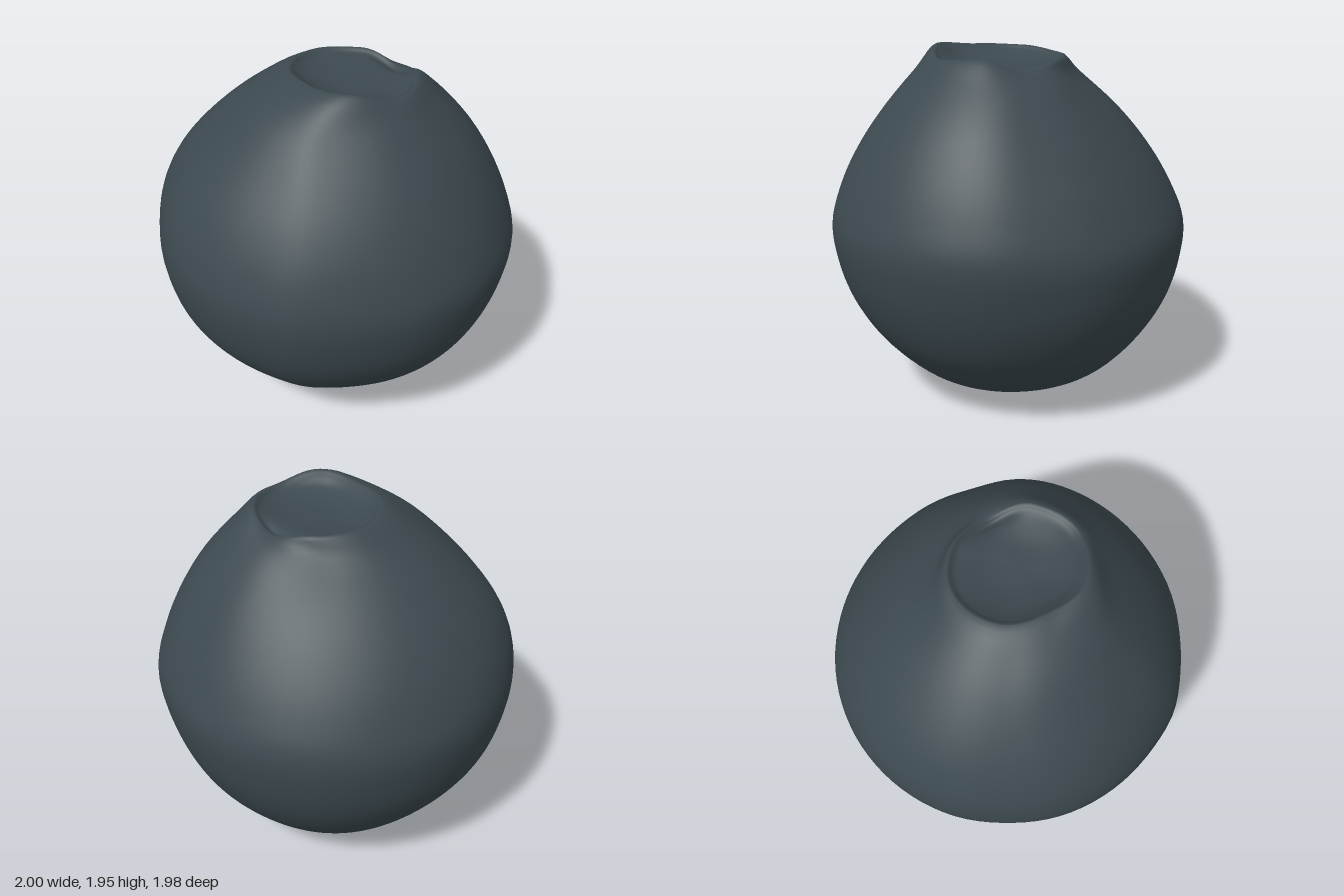
import * as THREE from 'three';

// body radii towards +x, +z, -x, -z at each height
const BODY = [
  [0.02, 0.28, 0.24, 0.14, 0.20],
  [0.1, 0.46, 0.42, 0.40, 0.49],
  [0.2, 0.61, 0.57, 0.59, 0.64],
  [0.4, 0.80, 0.77, 0.79, 0.81],
  [0.6, 0.91, 0.90, 0.92, 0.92],
  [0.8, 0.975, 0.965, 0.98, 0.975],
  [1.0, 1.0, 0.985, 1.0, 0.985],
  [1.2, 0.945, 0.93, 0.965, 0.90],
  [1.4, 0.855, 0.83, 0.865, 0.77],
  [1.6, 0.73, 0.69, 0.69, 0.60],
  [1.8, 0.55, 0.52, 0.45, 0.38],
];
// crown rim: radius and height every 45 degrees from +x towards +z
const RIM = [[0.33, 1.91], [0.36, 1.895], [0.37, 1.95], [0.32, 1.93],
  [0.34, 1.92], [0.34, 1.9], [0.32, 1.89], [0.3, 1.845]];
const RIM_X = 0.1;

// smooth interpolation around a closed list of values
function around(values, a) {
  const n = values.length;
  const t = (((a / (Math.PI * 2)) % 1) + 1) % 1 * n;
  const i = Math.floor(t) % n, f = t - Math.floor(t);
  const s = f * f * (3 - 2 * f);
  return values[i] * (1 - s) + values[(i + 1) % n] * s;
}

// soft bump centred on one direction
function bump(a, centre, width) {
  const d = Math.atan2(Math.sin(a - centre), Math.cos(a - centre));
  return Math.exp(-((d / width) ** 2));
}

// one meridian from the base, over the rim and into the hollow
function meridian(a) {
  const c = Math.cos(a), s = Math.sin(a);
  const points = [new THREE.Vector3(0, 0, 0)];
  for (const [y, ...radii] of BODY) {
    const k = Math.max(0, Math.min(1, (y - 0.4) / 1.0));
    const folds = 0.012 * bump(a, 1.68, 0.16) - 0.022 * k * bump(a, -0.55, 0.2)
      - 0.018 * k * bump(a, 2.85, 0.2) - 0.01 * bump(a, 1.25, 0.25);
    const r = around(radii, a) * (1 + folds);
    points.push(new THREE.Vector3(c * r, y, s * r));
  }
  const r = around(RIM.map((p) => p[0]), a), y = around(RIM.map((p) => p[1]), a);
  for (const [scale, h] of [[1, y], [0.9, y - 0.02], [0.75, y * 0.4 + 1.845 * 0.6], [0.4, 1.845]]) {
    points.push(new THREE.Vector3(RIM_X + c * r * scale, h, s * r * scale));
  }
  points.push(new THREE.Vector3(RIM_X, 1.84, 0));
  return new THREE.CatmullRomCurve3(points, false, 'centripetal');
}

function fruitGeometry(sides = 96, rows = 80) {
  const positions = [], index = [];
  for (let i = 0; i < sides; i++) {
    const curve = meridian((i / sides) * Math.PI * 2);
    for (let j = 1; j < rows; j++) positions.push(...curve.getPoint(j / rows).toArray());
  }
  const m = rows - 1, base = sides * m, top = base + 1;
  positions.push(0, 0, 0, RIM_X, 1.84, 0);
  for (let i = 0; i < sides; i++) {
    const p = i * m, q = ((i + 1) % sides) * m;
    index.push(base, p, q, top, q + m - 1, p + m - 1);
    for (let j = 0; j < m - 1; j++) {
      index.push(p + j, p + j + 1, q + j, q + j, p + j + 1, q + j + 1);
    }
  }
  const geometry = new THREE.BufferGeometry();
  geometry.setAttribute('position', new THREE.Float32BufferAttribute(positions, 3));
  geometry.setIndex(index);
  geometry.computeVertexNormals();
  return geometry;
}

export function createModel() {
  const group = new THREE.Group();
  group.name = 'berry';
  const skin = new THREE.MeshStandardMaterial({ color: 0x3c494f });
  skin.name = 'dark slate skin';
  const body = new THREE.Mesh(fruitGeometry(), skin);
  body.name = 'berryBody';
  group.add(body);
  return group;
}
